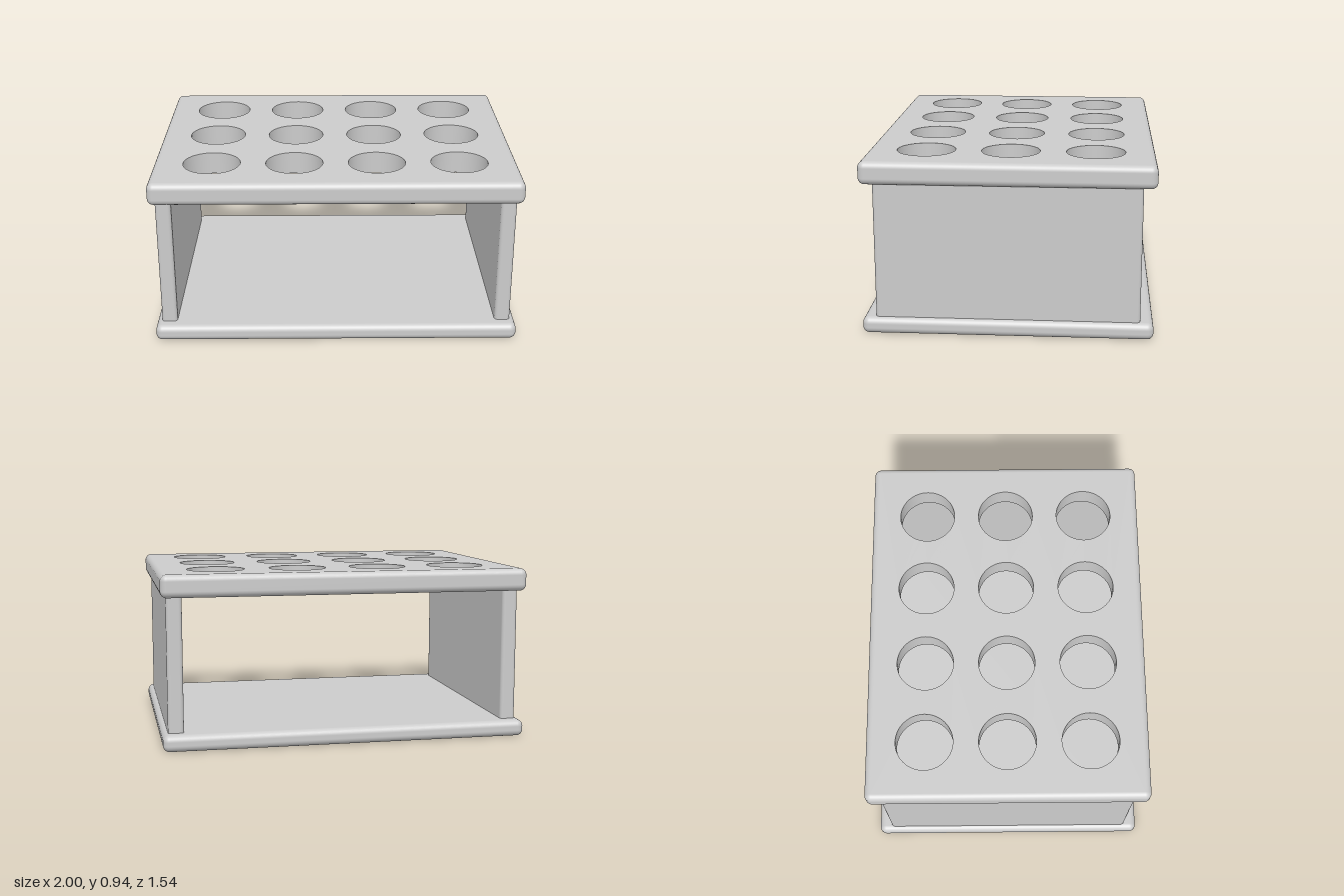
import * as THREE from 'three';
import { RoundedBoxGeometry } from 'three/addons/geometries/RoundedBoxGeometry.js';

const W = 2, D = 1.54, R = 0.035;
const BASE_TOP = 0.09, RACK_BOTTOM = 0.815, RACK_TOP = 0.938;
const HOLE_R = 0.157, PITCH = 0.453;

export function createModel() {
  const model = new THREE.Group();
  const material = new THREE.MeshStandardMaterial({ color: 0xcccccc });
  const inner = material.clone();
  inner.side = THREE.BackSide;

  const add = (parent, name, geometry, x = 0, y = 0, z = 0, mat = material) => {
    const mesh = new THREE.Mesh(geometry, mat);
    mesh.name = name;
    mesh.position.set(x, y, z);
    parent.add(mesh);
    return mesh;
  };

  // Base plate
  add(model, 'basePlate', new RoundedBoxGeometry(W, BASE_TOP, D, 5, R), 0, BASE_TOP / 2);

  // Side walls, seated slightly into both plates
  const wallH = RACK_BOTTOM - BASE_TOP + 0.06;
  for (const [name, s] of [['leftWall', 1], ['rightWall', -1]]) {
    add(model, name, new RoundedBoxGeometry(0.085, wallH, 1.4, 4, 0.02),
      s * 0.927, (BASE_TOP + RACK_BOTTOM) / 2);
  }

  // Top plate: rounded rim, pierced faces and hole linings
  const rack = new THREE.Group();
  rack.name = 'topPlate';
  const thickness = RACK_TOP - RACK_BOTTOM;
  rack.position.y = (RACK_BOTTOM + RACK_TOP) / 2;
  model.add(rack);
  add(rack, 'topPlateRim', openRim(new RoundedBoxGeometry(W, thickness, D, 5, R), thickness / 2));

  const hx = W / 2 - R, hz = D / 2 - R;
  const face = new THREE.Shape([
    new THREE.Vector2(-hx, -hz), new THREE.Vector2(hx, -hz),
    new THREE.Vector2(hx, hz), new THREE.Vector2(-hx, hz),
  ]);
  const lining = new THREE.CylinderGeometry(HOLE_R, HOLE_R, thickness, 64, 1, true);
  for (let col = 0; col < 4; col++) {
    for (let row = 0; row < 3; row++) {
      const x = (col - 1.5) * PITCH, z = (row - 1) * PITCH;
      face.holes.push(new THREE.Path().absarc(x, z, HOLE_R, 0, Math.PI * 2, true));
      add(rack, 'holeLining', lining, x, 0, z, inner);
    }
  }
  const faceGeometry = new THREE.ShapeGeometry(face, 32);
  for (const [name, s] of [['topFace', 1], ['bottomFace', -1]]) {
    add(rack, name, faceGeometry, 0, s * thickness / 2).rotation.x = -s * Math.PI / 2;
  }
  return model;
}

// Drops the flat top and bottom triangles of a rounded box, leaving its rim
function openRim(box, halfHeight) {
  const source = box.index ? box.toNonIndexed() : box;
  const p = source.attributes.position, n = source.attributes.normal;
  const positions = [], normals = [];
  for (let i = 0; i < p.count; i += 3) {
    const flat = [0, 1, 2].every((k) => Math.abs(p.getY(i + k)) > halfHeight - 1e-5);
    if (flat) continue;
    for (let k = i; k < i + 3; k++) {
      positions.push(p.getX(k), p.getY(k), p.getZ(k));
      normals.push(n.getX(k), n.getY(k), n.getZ(k));
    }
  }
  const rim = new THREE.BufferGeometry();
  rim.setAttribute('position', new THREE.Float32BufferAttribute(positions, 3));
  rim.setAttribute('normal', new THREE.Float32BufferAttribute(normals, 3));
  return rim;
}
